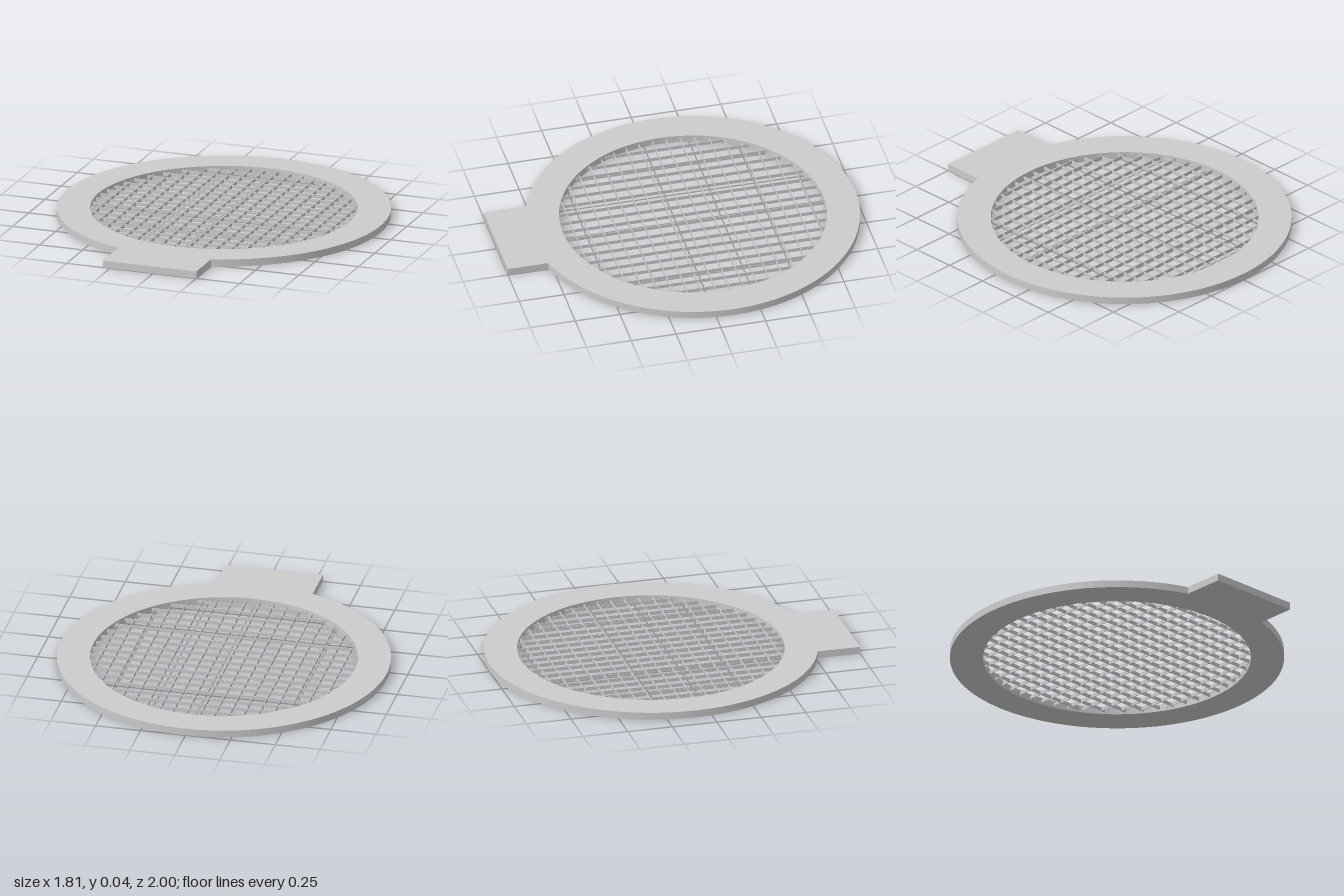
import * as THREE from 'three';
import { toCreasedNormals } from 'three/addons/utils/BufferGeometryUtils.js';

const OUTER = 0.905, INNER = 0.725, THICK = 0.04, CENTRE_Z = -0.095;
const PITCH = 0.0767, STRIP_THICK = 0.003, STRIP_HEIGHT = 0.02;
const TAB_LEFT = 0.25, TAB_RIGHT = -0.29;

export function createModel() {
  const model = new THREE.Group();
  model.name = 'meshScreen';
  const material = new THREE.MeshStandardMaterial({ color: 0xcccccc });

  // Flat ring with a rectangular tab, cut from one plate
  const cy = -CENTRE_Z;
  const outline = new THREE.Shape();
  outline.moveTo(TAB_RIGHT, -1);
  outline.lineTo(TAB_LEFT, -1);
  outline.absarc(0, cy, OUTER, -Math.acos(TAB_LEFT / OUTER), 2 * Math.PI - Math.acos(TAB_RIGHT / OUTER), false);
  outline.closePath();
  const hole = new THREE.Path();
  hole.absarc(0, cy, INNER, 0, Math.PI * 2, true);
  outline.holes.push(hole);
  const plate = new THREE.ExtrudeGeometry(outline, { depth: THICK, bevelEnabled: false, curveSegments: 64 });
  plate.rotateX(-Math.PI / 2);
  const frame = new THREE.Mesh(toCreasedNormals(plate, 0.5), material);
  frame.name = 'ringFrameWithTab';
  model.add(frame);

  // Thin upright strips, each trimmed to the chord of the opening
  const lattice = new THREE.Group();
  lattice.name = 'lattice';
  lattice.position.set(0, THICK / 2, CENTRE_Z);
  model.add(lattice);

  function addStrips(name, start, alongX) {
    for (let k = -10; k <= 10; k++) {
      const offset = start + k * PITCH;
      if (Math.abs(offset) > INNER - 0.005) continue;
      const length = 2 * Math.sqrt(INNER * INNER - offset * offset) + 0.004;
      const strip = new THREE.Mesh(
        alongX
          ? new THREE.BoxGeometry(length, STRIP_HEIGHT, STRIP_THICK)
          : new THREE.BoxGeometry(STRIP_THICK, STRIP_HEIGHT, length),
        material
      );
      strip.name = name;
      if (alongX) strip.position.z = offset;
      else strip.position.x = offset;
      lattice.add(strip);
    }
  }
  addStrips('crossStrip', -0.03, true);
  addStrips('lengthStrip', -0.032, false);

  return model;
}
